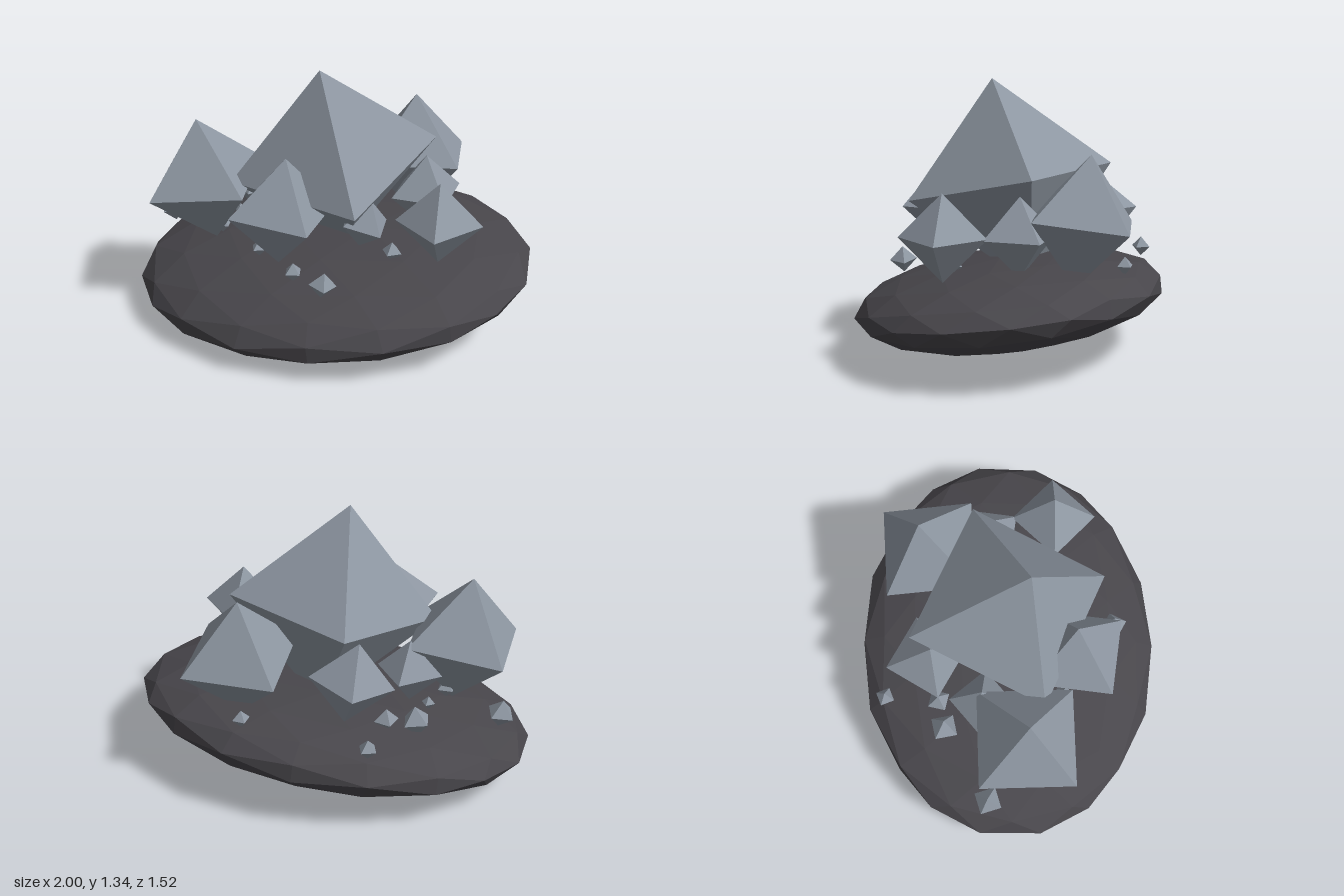
import * as THREE from 'three';

const UP = new THREE.Vector3(0, 1, 0);

// Regular octahedron: centre, radius, horizontal lean of the apex, azimuth (degrees) of one corner
function makeCrystal(name, material, [x, y, z, r, leanX = 0, leanZ = 0, azimuth = 0]) {
  const mesh = new THREE.Mesh(new THREE.OctahedronGeometry(r), material);
  const apex = new THREE.Vector3(leanX, Math.sqrt(r * r - leanX * leanX - leanZ * leanZ), leanZ).normalize();
  const yaw = new THREE.Quaternion().setFromAxisAngle(UP, -THREE.MathUtils.degToRad(azimuth));
  mesh.quaternion.setFromUnitVectors(UP, apex).multiply(yaw);
  mesh.position.set(x, y, z);
  mesh.name = name;
  return mesh;
}

export function createModel() {
  const model = new THREE.Group();
  model.name = 'crystalRock';

  const rock = new THREE.MeshStandardMaterial({ color: 0x48464b, flatShading: true });
  rock.name = 'darkRock';
  const crystal = new THREE.MeshStandardMaterial({ color: 0x8d96a1, flatShading: true });
  crystal.name = 'greyCrystal';

  // Flattened, tilted rock slab
  const slab = new THREE.Mesh(new THREE.IcosahedronGeometry(1, 2), rock);
  slab.scale.set(1.008, 0.225, 0.772);
  slab.rotation.set(0.115, 0.157, 0.063);
  slab.position.y = 0.25;
  slab.name = 'rockBase';
  model.add(slab);

  // Main crystals
  const large = [
    [0, 0.833, 0, 0.52, -0.035, 0.11, -29],
    [-0.615, 0.705, 0.172, 0.332, -0.035, 0.02, 35],
    [0.295, 0.71, -0.447, 0.32, -0.015, -0.035, 33.4],
    [-0.14, 0.695, 0.36, 0.28, 0.02, -0.008, 45],
    [0.583, 0.65, 0.15, 0.212, 0, 0, -9],
    [0.24, 0.637, 0.24, 0.13, 0.03, 0, 37],
    [0.425, 0.643, -0.178, 0.195, 0, 0, 45],
    [-0.26, 0.66, -0.372, 0.208, -0.025, 0.03, -24],
    [-0.435, 0.612, -0.07, 0.165, 0, 0, -3],
  ];
  large.forEach((data, i) => model.add(makeCrystal(i ? 'sideCrystal' : 'centralCrystal', crystal, data)));

  // Small shards scattered over the slab
  const shards = [
    [-0.88, 0.43, 0.02, 0.075, -0.01, 0, 20],
    [0.125, 0.43, 0.53, 0.068, 0.01, 0, 65],
    [-0.05, 0.432, 0.46, 0.048, 0, 0, 30],
    [0.36, 0.47, 0.18, 0.052, 0, 0, 10],
    [0.2, 0.49, -0.63, 0.045, 0, 0, 40],
    [-0.43, 0.455, -0.57, 0.05, 0, 0, 15],
    [-0.545, 0.455, -0.25, 0.078, 0.01, 0, 25],
    [-0.41, 0.453, -0.3, 0.062, 0, 0, 50],
    [-0.53, 0.44, -0.05, 0.035, 0, 0, 0],
    [-0.56, 0.44, 0.12, 0.052, 0, 0, 35],
    [-0.28, 0.45, 0.32, 0.042, 0, 0, 20],
  ];
  for (const data of shards) model.add(makeCrystal('smallShard', crystal, data));

  return model;
}
